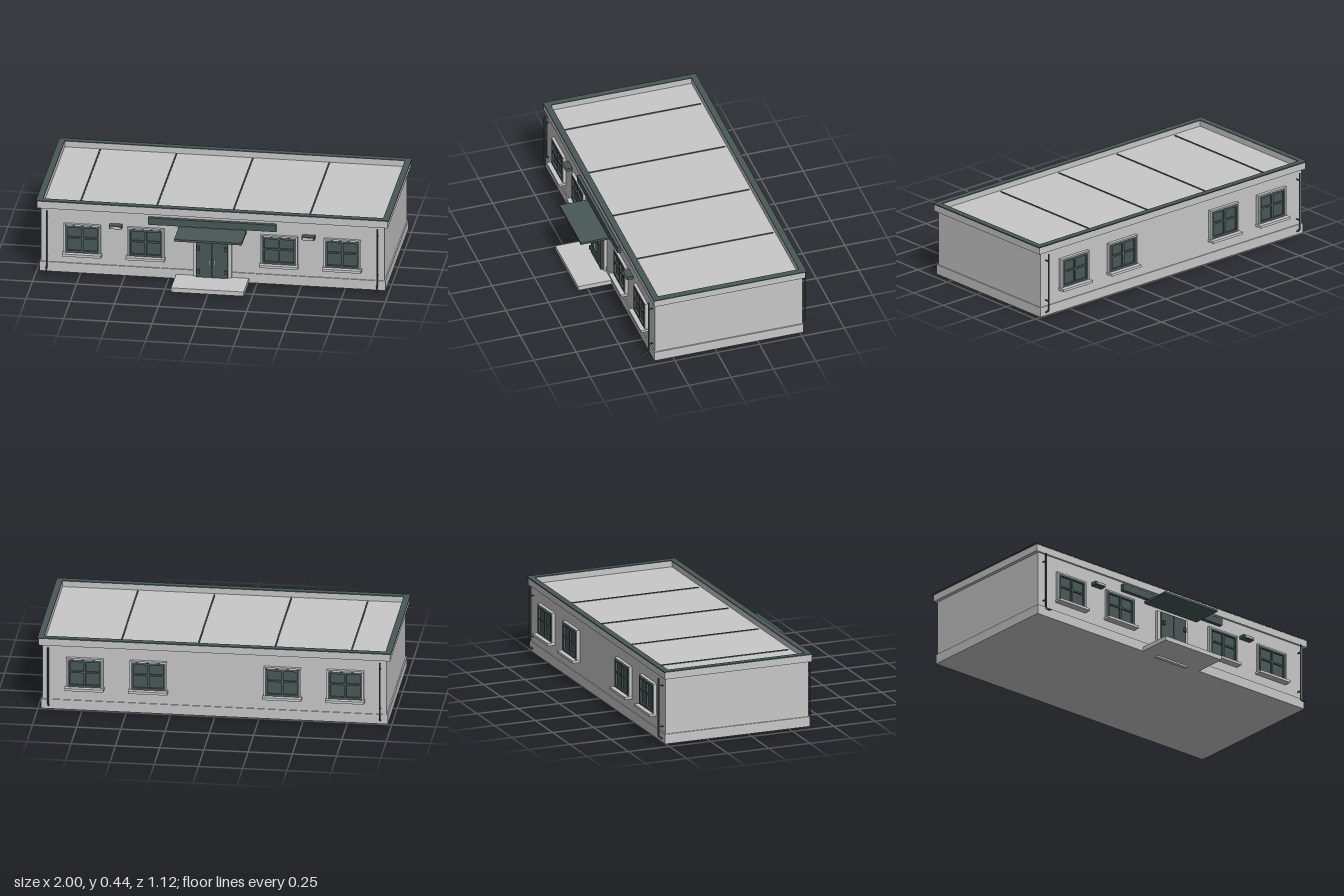
import * as THREE from 'three';

const wallGray = new THREE.MeshStandardMaterial({ color: 0xc8c8c8 });
wallGray.name = 'wallGray';
const darkTeal = new THREE.MeshStandardMaterial({ color: 0x4a5858 });
darkTeal.name = 'darkTeal';

// Box given by its extents on each axis
function box(parent, name, mat, x0, x1, y0, y1, z0, z1) {
  const m = new THREE.Mesh(new THREE.BoxGeometry(x1 - x0, y1 - y0, z1 - z0), mat);
  m.name = name;
  m.position.set((x0 + x1) / 2, (y0 + y1) / 2, (z0 + z1) / 2);
  parent.add(m);
  return m;
}

// Flat rectangular ring of four boxes, lying in the xy plane
function frame(parent, name, mat, w, h, t, z0, z1) {
  for (const s of [-1, 1]) {
    box(parent, name, mat, -w / 2, w / 2, s * (h / 2 - t / 2) - t / 2, s * (h / 2 - t / 2) + t / 2, z0, z1);
    box(parent, name, mat, s * (w / 2 - t / 2) - t / 2, s * (w / 2 - t / 2) + t / 2, -h / 2 + t, h / 2 - t, z0, z1);
  }
}

// Horizontal ring around the roof edge
function roofRing(parent, name, mat, x, zb, zf, t, y0, y1) {
  box(parent, name, mat, -x, x, y0, y1, zf - t, zf);
  box(parent, name, mat, -x, x, y0, y1, zb, zb + t);
  for (const s of [-1, 1]) {
    box(parent, name, mat, s * (x - t / 2) - t / 2, s * (x - t / 2) + t / 2, y0, y1, zb + t, zf - t);
  }
}

// Four-pane window facing +z with its wall plane at z = 0
function makeWindow() {
  const g = new THREE.Group();
  g.name = 'window';
  frame(g, 'windowSurround', wallGray, 0.21, 0.18, 0.008, -0.005, 0.014);
  box(g, 'windowGlass', darkTeal, -0.097, 0.097, -0.082, 0.082, -0.002, 0.004);
  frame(g, 'windowSash', darkTeal, 0.194, 0.164, 0.013, 0, 0.016);
  box(g, 'windowMullion', darkTeal, -0.006, 0.006, -0.07, 0.07, 0, 0.014);
  box(g, 'windowTransom', darkTeal, -0.085, 0.085, 0.002, 0.012, 0, 0.013);
  box(g, 'windowSill', wallGray, -0.11, 0.11, -0.098, -0.083, -0.005, 0.041);
  return g;
}

// Downpipe with an outlet kicked forward at the foot
function makeDownpipe() {
  const g = new THREE.Group();
  g.name = 'downpipe';
  const path = new THREE.CurvePath();
  const p = [[0.385, 0], [0.05, 0], [0.034, 0.01], [0.024, 0.04]].map(([y, z]) => new THREE.Vector3(0, y, z));
  path.add(new THREE.LineCurve3(p[0], p[1]));
  path.add(new THREE.QuadraticBezierCurve3(p[1], p[2], p[3]));
  const pipe = new THREE.Mesh(new THREE.TubeGeometry(path, 40, 0.005, 8, false), darkTeal);
  pipe.name = 'pipe';
  g.add(pipe);
  for (const [y, z, tilt] of [[0.385, 0, 0], [0.024, 0.04, Math.PI / 2 + 0.3]]) {
    const end = new THREE.Mesh(new THREE.CylinderGeometry(0.005, 0.005, 0.003, 8), darkTeal);
    end.name = 'pipeEnd';
    end.position.set(0, y, z);
    end.rotation.x = tilt;
    g.add(end);
  }
  return g;
}

export function createModel() {
  const model = new THREE.Group();
  model.name = 'singleStoreyBuilding';

  // Walls, plinth and roof
  box(model, 'walls', wallGray, -0.973, 0.973, 0.012, 0.402, -0.512, 0.358);
  box(model, 'plinth', wallGray, -0.98, 0.98, 0.01, 0.067, -0.517, 0.364);
  roofRing(model, 'parapet', wallGray, 0.994, -0.524, 0.37, 0.03, 0.393, 0.435);
  roofRing(model, 'parapetCap', darkTeal, 1, -0.53, 0.373, 0.036, 0.434, 0.44);
  for (const x of [-0.762, -0.33, 0.103, 0.537]) {
    box(model, 'roofSeam', darkTeal, x - 0.004, x + 0.004, 0.4, 0.406, -0.483, 0.322);
  }

  // Windows on the front and back walls
  for (const x of [-0.737, -0.378, 0.378, 0.737]) {
    const w = makeWindow();
    w.position.set(x, 0.218, 0.36);
    model.add(w);
  }
  for (const x of [-0.74, -0.385, 0.372, 0.732]) {
    const w = makeWindow();
    w.rotation.y = Math.PI;
    w.position.set(x, 0.236, -0.518);
    model.add(w);
  }

  // Downpipes near the four corners
  for (const x of [-0.937, 0.937]) {
    for (const z of [0.384, -0.54]) {
      const d = makeDownpipe();
      d.position.set(x, 0, z);
      model.add(d);
      for (const y of [0.1, 0.34]) {
        const inner = z > 0 ? 0.357 : -0.511;
        box(model, 'pipeBracket', darkTeal, x - 0.003, x + 0.003, y, y + 0.005, Math.min(z, inner), Math.max(z, inner));
      }
    }
  }

  // Entrance: landing, canopy and fascia board
  box(model, 'landing', wallGray, -0.206, 0.206, 0.01, 0.036, 0.35, 0.56);
  box(model, 'canopy', darkTeal, -0.192, 0.192, 0.311, 0.324, 0.355, 0.54);
  box(model, 'fasciaBoard', darkTeal, -0.363, 0.363, 0.335, 0.376, 0.355, 0.38);

  // Double door in its frame
  for (const s of [-1, 1]) {
    box(model, 'doorJamb', wallGray, s * 0.1 - 0.01, s * 0.1 + 0.01, 0, 0.288, 0.355, 0.376);
    const leaf = new THREE.Group();
    leaf.name = 'doorLeaf';
    box(leaf, 'doorPanel', darkTeal, s * 0.0455 - 0.0445, s * 0.0455 + 0.0445, 0.037, 0.28, 0.357, 0.388);
    box(leaf, 'doorHandle', wallGray, s * 0.013 - 0.003, s * 0.013 + 0.003, 0.112, 0.148, 0.387, 0.396);
    for (const y of [0.075, 0.215]) {
      box(leaf, 'doorHinge', darkTeal, s * 0.077 - 0.007, s * 0.077 + 0.007, y - 0.012, y + 0.012, 0.385, 0.4);
    }
    model.add(leaf);
  }
  box(model, 'doorHead', wallGray, -0.09, 0.09, 0.278, 0.288, 0.355, 0.376);
  box(model, 'threshold', wallGray, -0.09, 0.09, 0, 0.037, 0.355, 0.376);

  // Wall lamps with pale front panels
  for (const s of [-1, 1]) {
    const x = s * 0.546;
    box(model, 'lampHousing', darkTeal, x - 0.036, x + 0.036, 0.302, 0.321, 0.355, 0.396);
    box(model, 'lampPanel', wallGray, x - 0.03, x + 0.03, 0.306, 0.317, 0.395, 0.399);
  }

  return model;
}
